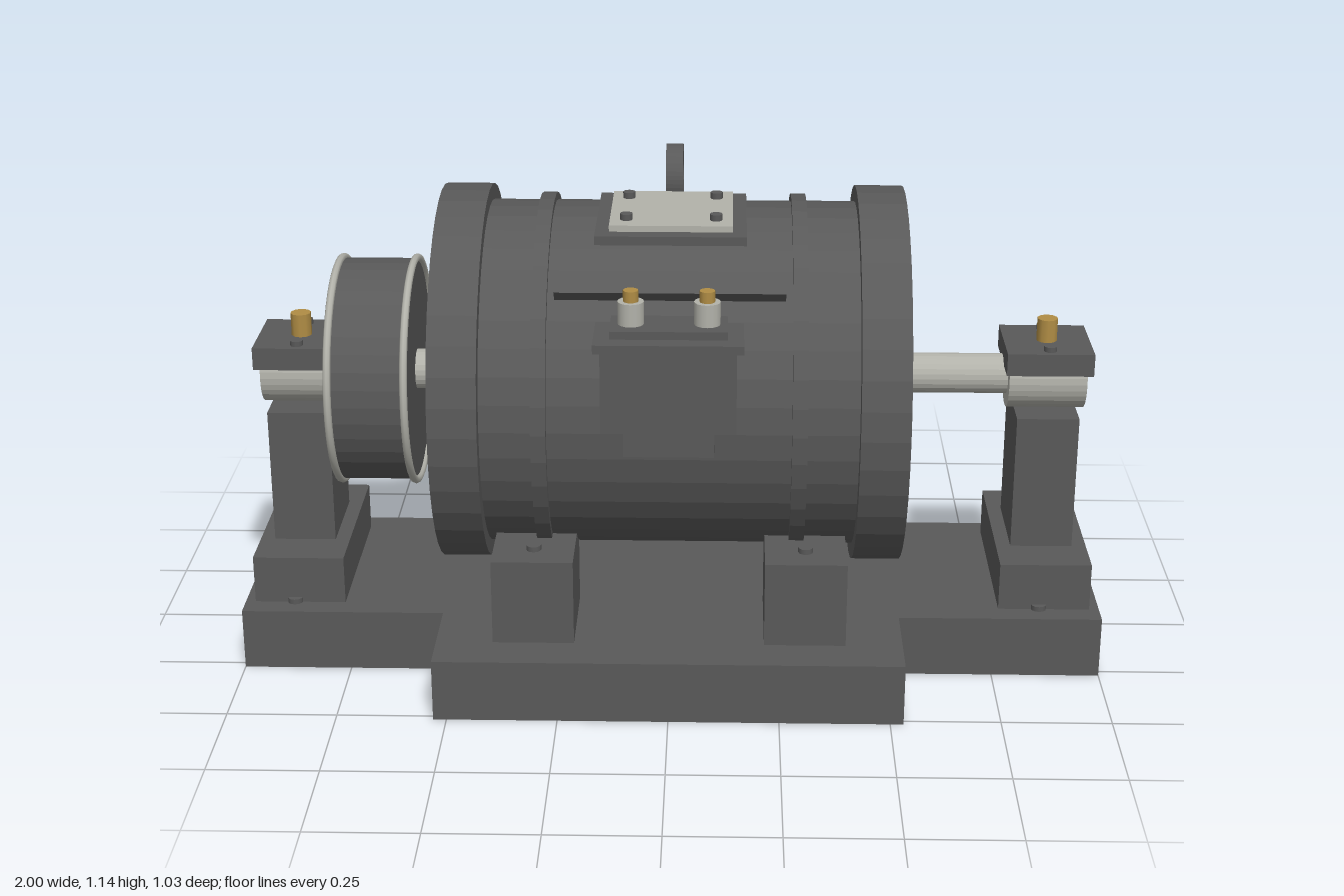
import * as THREE from 'three';

const AXIS = 0.652; // shaft height

export function createModel() {
  const model = new THREE.Group();
  model.name = 'electricMotor';
  const mat = (name, color) => {
    const m = new THREE.MeshStandardMaterial({ color });
    m.name = name;
    return m;
  };
  const iron = mat('darkIron', 0x595959);
  const steel = mat('paleSteel', 0xb2b2aa);
  const brass = mat('brass', 0xb08d45);

  const add = (name, geometry, material, x = 0, y = 0, z = 0, parent = model) => {
    const mesh = new THREE.Mesh(geometry, material);
    mesh.name = name;
    mesh.position.set(x, y, z);
    parent.add(mesh);
    return mesh;
  };
  // Box given by its limits on each axis
  const box = (name, m, x0, x1, y0, y1, z0, z1, parent) =>
    add(name, new THREE.BoxGeometry(x1 - x0, y1 - y0, z1 - z0), m,
      (x0 + x1) / 2, (y0 + y1) / 2, (z0 + z1) / 2, parent);
  // Upright cylinder standing on y0
  const post = (name, m, r, x, y0, y1, z, sides = 12, parent = model) =>
    add(name, new THREE.CylinderGeometry(r, r, y1 - y0, sides), m, x, (y0 + y1) / 2, z, parent);
  // Faceted cylinder along the shaft axis
  const drum = (name, m, r, x0, x1, sides = 40, parent = model) => {
    const g = new THREE.CylinderGeometry(r, r, x1 - x0, sides).rotateZ(Math.PI / 2).toNonIndexed();
    g.computeVertexNormals();
    return add(name, g, m, (x0 + x1) / 2, AXIS, 0, parent);
  };

  // Cross-shaped base plate
  const outline = [[-1, -0.27], [-0.53, -0.27], [-0.53, -0.515], [0.53, -0.515], [0.53, -0.27], [1, -0.27],
    [1, 0.27], [0.53, 0.27], [0.53, 0.515], [-0.53, 0.515], [-0.53, 0.27], [-1, 0.27]];
  const plate = new THREE.Shape(outline.map(([x, z]) => new THREE.Vector2(x, z)));
  add('basePlate', new THREE.ExtrudeGeometry(plate, { depth: 0.145, bevelEnabled: false })
    .rotateX(-Math.PI / 2), iron);

  // Motor housing
  drum('housing', iron, 0.4, -0.43, 0.43);
  for (const s of [-1, 1]) {
    drum('endBell', iron, 0.437, s * 0.475 - 0.055, s * 0.475 + 0.055);
    drum('housingBand', iron, 0.417, s * 0.288 - 0.017, s * 0.288 + 0.017);
    const fin = box('sideFin', iron, -0.255, 0.255, -0.0125, 0.0125, -0.03, 0.03);
    fin.position.set(0, AXIS + 0.405 * Math.SQRT1_2, s * 0.405 * Math.SQRT1_2);
    fin.rotation.x = -s * Math.PI / 4;
    // Mounting feet with bolts
    for (const t of [-1, 1]) {
      const z = t * 0.2975;
      box('mountingFoot', iron, s * 0.308 - 0.0925, s * 0.308 + 0.0925, 0.145, 0.345, z - 0.1175, z + 0.1175);
      post('footBolt', iron, 0.017, s * 0.308, 0.345, 0.357, t * 0.343);
    }
  }

  // Shaft and pulley
  drum('shaft', steel, 0.047, -0.95, 0.95, 24);
  drum('pulley', iron, 0.26, -0.775, -0.602);
  for (const x of [-0.775, -0.602])
    add('pulleyRim', new THREE.TorusGeometry(0.262, 0.009, 8, 48).rotateY(Math.PI / 2), steel, x, AXIS, 0);

  // Bearing pedestals at both ends
  for (const s of [-1, 1]) {
    const g = new THREE.Group();
    g.name = s > 0 ? 'leftBearing' : 'rightBearing';
    g.position.x = s * 0.871;
    model.add(g);
    box('pedestalFoot', iron, -0.106, 0.106, 0.145, 0.258, -0.217, 0.217, g);
    box('pedestal', iron, -0.072, 0.072, 0.258, 0.58, -0.11, 0.11, g);
    drum('bearing', steel, 0.078, -0.09, 0.09, 32, g);
    box('bearingCap', iron, -0.1, 0.1, 0.683, 0.736, -0.102, 0.102, g);
    post('oilCup', brass, 0.024, 0, 0.736, 0.79, 0, 10, g);
    for (const t of [-1, 1]) {
      post('capBolt', iron, 0.015, 0, 0.736, 0.748, t * 0.075, 12, g);
      post('baseBolt', iron, 0.018, -0.012, 0.145, 0.157, t * 0.214, 12, g);
    }
  }

  // Inspection cover on top
  box('coverPad', iron, -0.168, 0.168, 1.04, 1.06, -0.085, 0.253);
  box('coverPlate', steel, -0.137, 0.137, 1.06, 1.074, -0.053, 0.217);
  for (const x of [-0.1, 0.1])
    for (const z of [-0.002, 0.168]) post('coverBolt', iron, 0.014, x, 1.074, 1.088, z);

  // Lifting eye
  const ring = new THREE.Shape().absarc(0, 0, 0.075, 0, Math.PI * 2, false);
  ring.holes.push(new THREE.Path().absarc(0, 0, 0.045, 0, Math.PI * 2, true));
  add('liftingEye', new THREE.ExtrudeGeometry(ring, { depth: 0.04, bevelEnabled: false, curveSegments: 24 })
    .translate(0, 0, -0.02).rotateY(Math.PI / 2), iron, 0, 1.068, -0.206);

  // Terminal box on the front
  box('terminalBox', iron, -0.148, 0.148, 0.678, 0.866, 0.3, 0.463);
  box('terminalBoxBase', iron, -0.1, 0.1, 0.61, 0.678, 0.3, 0.43);
  box('terminalBoxLid', iron, -0.163, 0.163, 0.866, 0.886, 0.31, 0.475);
  box('terminalStrip', iron, -0.128, 0.128, 0.886, 0.904, 0.33, 0.436);
  for (const x of [-0.083, 0.083]) {
    post('terminalInsulator', steel, 0.029, x, 0.904, 0.955, 0.38, 16);
    post('terminalStud', brass, 0.017, x, 0.955, 0.98, 0.38, 12);
  }
  return model;
}
